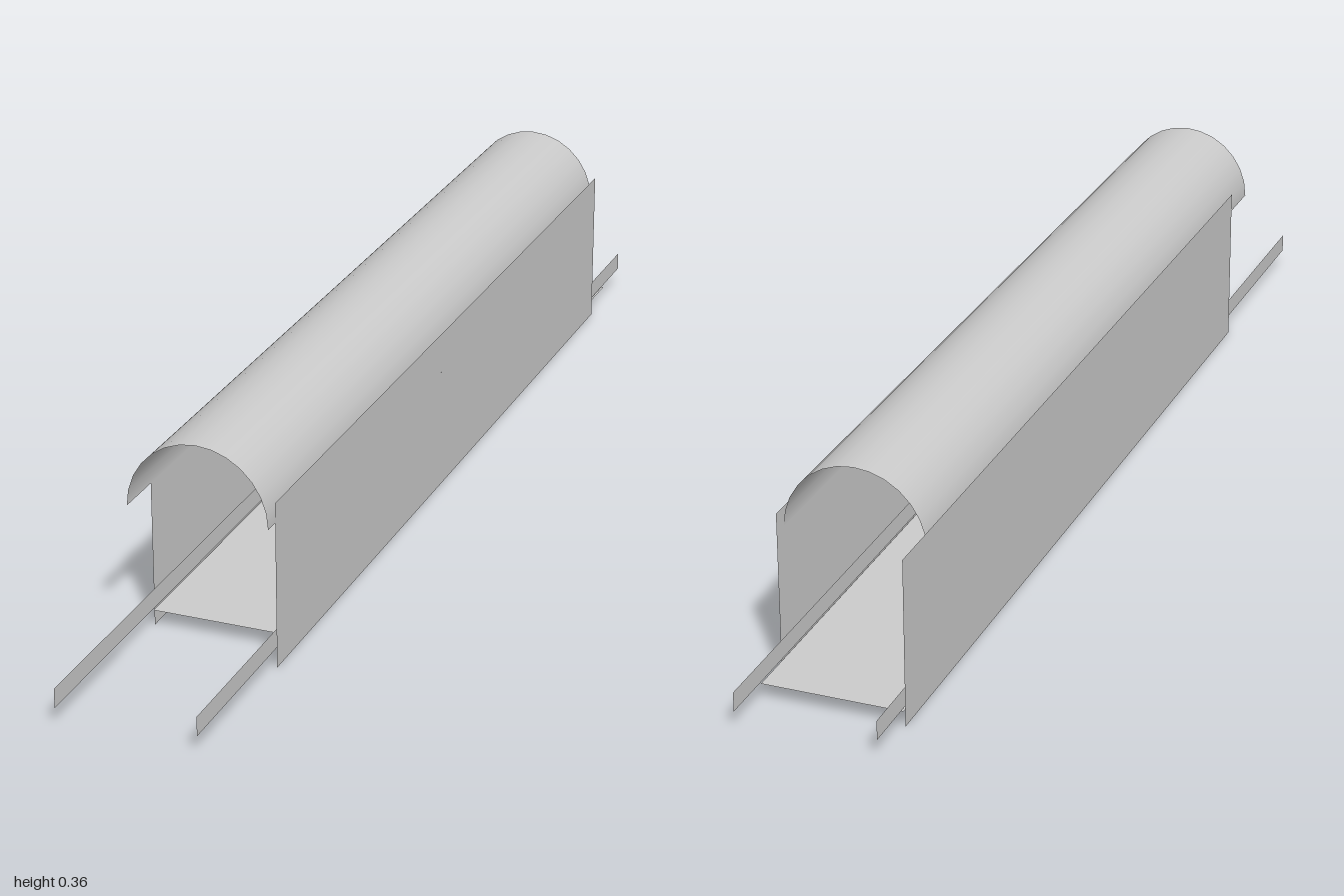
import * as THREE from 'three';

const grey = new THREE.MeshStandardMaterial({ color: 0xcccccc, side: THREE.DoubleSide });
const flameMat = new THREE.MeshStandardMaterial({ color: 0xe09a3a, flatShading: true });

function add(parent, name, geometry, material = grey) {
  const mesh = new THREE.Mesh(geometry, material);
  mesh.name = name;
  parent.add(mesh);
  return mesh;
}

// Upright sheet facing sideways at x, spanning z0..z1 and y0..y1
function sideSheet(parent, name, x, z0, z1, y0, y1) {
  const geo = new THREE.PlaneGeometry(z1 - z0, y1 - y0);
  geo.rotateY(x > 0 ? Math.PI / 2 : -Math.PI / 2);
  add(parent, name, geo).position.set(x, (y0 + y1) / 2, (z0 + z1) / 2);
}

// Straight round bar between two points in the xy plane
function bar(parent, name, x0, y0, x1, y1, r0, r1) {
  const a = new THREE.Vector3(x0, y0, 0), b = new THREE.Vector3(x1, y1, 0);
  const dir = b.clone().sub(a);
  const mesh = add(parent, name, new THREE.CylinderGeometry(r1, r0, dir.length(), 8));
  mesh.position.copy(a).add(b).multiplyScalar(0.5);
  mesh.quaternion.setFromUnitVectors(new THREE.Vector3(0, 1, 0), dir.normalize());
}

export function createModel() {
  const model = new THREE.Group();
  model.name = 'tunnel';

  // Walls, slightly staggered along the tunnel
  sideSheet(model, 'leftWall', 0.117, -0.83, 0.71, 0, 0.278);
  sideSheet(model, 'rightWall', -0.117, -0.9, 0.65, 0, 0.278);

  // Rails just inside the walls
  for (const s of [1, -1]) {
    sideSheet(model, s > 0 ? 'leftRail' : 'rightRail', s * 0.115, -1, 1, 0.032, 0.064);
  }

  // Floor
  const floor = new THREE.PlaneGeometry(0.232, 1.56).rotateX(-Math.PI / 2);
  add(model, 'floor', floor).position.set(0, 0.028, -0.125);

  // Half-round vaulted roof
  const vault = new THREE.CylinderGeometry(0.1165, 0.1165, 1.542, 14, 1, true, Math.PI / 2, Math.PI);
  vault.rotateX(Math.PI / 2);
  vault.scale(1, 1.02, 1);
  add(model, 'vaultedRoof', vault).position.set(0, 0.245, -0.035);

  // Wall torch: leaning handle, collar, bracket and flame
  const torch = new THREE.Group();
  torch.name = 'torch';
  bar(torch, 'handle', 0.0946, 0.183, 0.0905, 0.24, 0.002, 0.0035);
  bar(torch, 'collar', 0.0918, 0.233, 0.0914, 0.246, 0.005, 0.005);
  bar(torch, 'bracket', 0.09, 0.2145, 0.117, 0.207, 0.0015, 0.0015);
  const flame = [[0, 0], [0.004, 0.001], [0.0065, 0.006], [0.004, 0.015], [0, 0.029]]
    .map(([r, y]) => new THREE.Vector2(r, y));
  add(torch, 'flame', new THREE.LatheGeometry(flame, 8), flameMat).position.set(0.0915, 0.247, 0);
  model.add(torch);

  return model;
}
